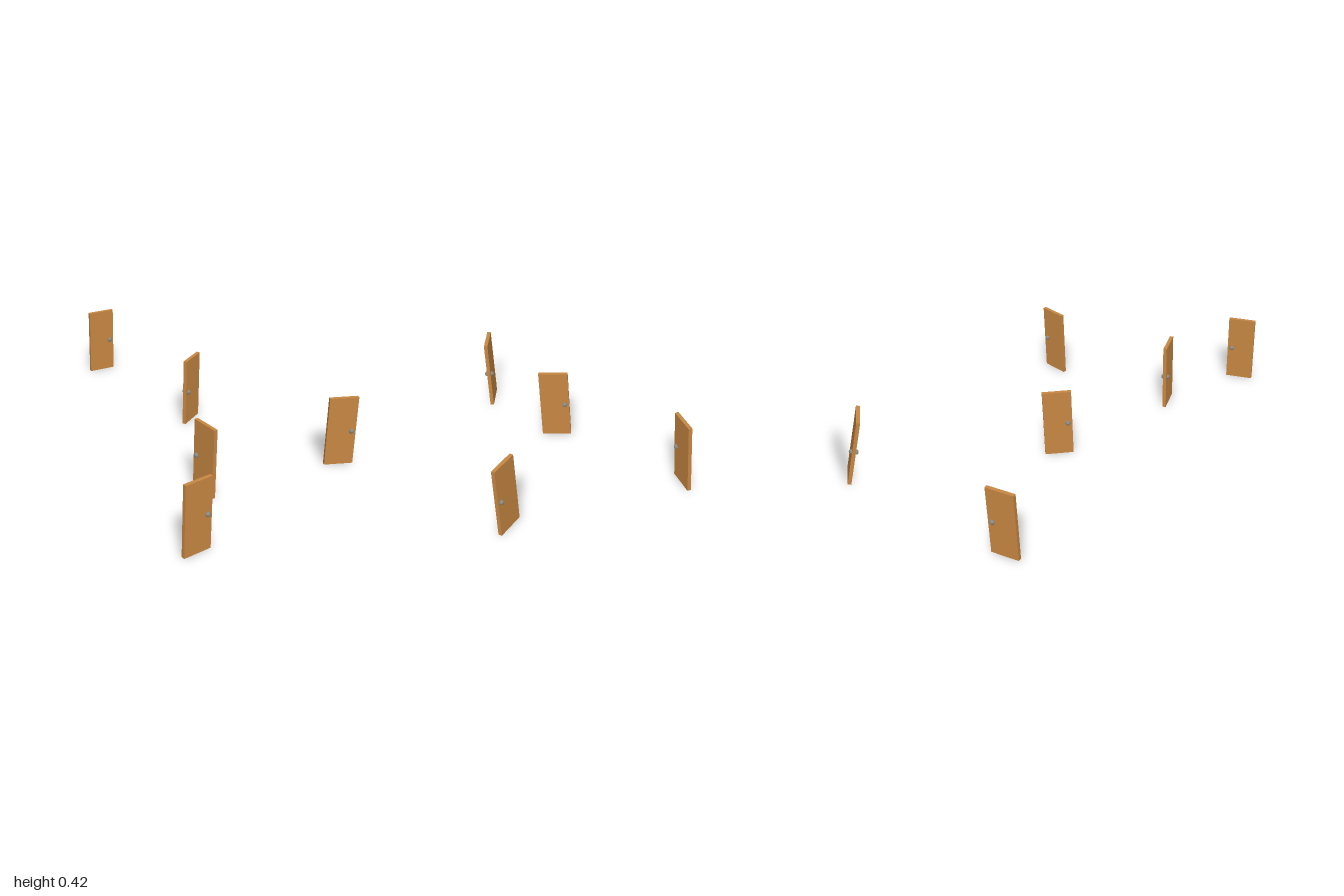
import * as THREE from 'three';

const WIDTH = 0.166, HEIGHT = 0.417, THICK = 0.021;

const wood = new THREE.MeshStandardMaterial({ color: 0xc68642 });
wood.name = 'warmWood';
const metal = new THREE.MeshStandardMaterial({ color: 0x888880 });
metal.name = 'greyMetal';

// One free-standing door: a panel with a round knob on each face near its +x edge
function createDoor() {
  const door = new THREE.Group();
  const panel = new THREE.Mesh(new THREE.BoxGeometry(WIDTH, HEIGHT, THICK), wood);
  panel.name = 'panel';
  panel.position.y = HEIGHT / 2;
  door.add(panel);
  for (const side of [1, -1]) {
    const knob = new THREE.Mesh(new THREE.SphereGeometry(0.0145, 20, 14), metal);
    knob.name = side > 0 ? 'frontKnob' : 'backKnob';
    knob.position.set(0.057, HEIGHT / 2, side * 0.012);
    door.add(knob);
  }
  return door;
}

export function createModel() {
  const model = new THREE.Group();
  model.name = 'scatteredDoors';
  // x, z and turn in degrees of each door
  const places = [
    [-0.959, -0.616, 68],
    [-0.036, -0.459, -78],
    [0.939, -0.606, 50],
    [0.574, 0.153, 168],
    [0.903, 0.614, 78],
  ];
  places.forEach(([x, z, turn], i) => {
    const door = createDoor();
    door.name = `door${i + 1}`;
    door.position.set(x, 0, z);
    door.rotation.y = THREE.MathUtils.degToRad(turn);
    model.add(door);
  });
  return model;
}
